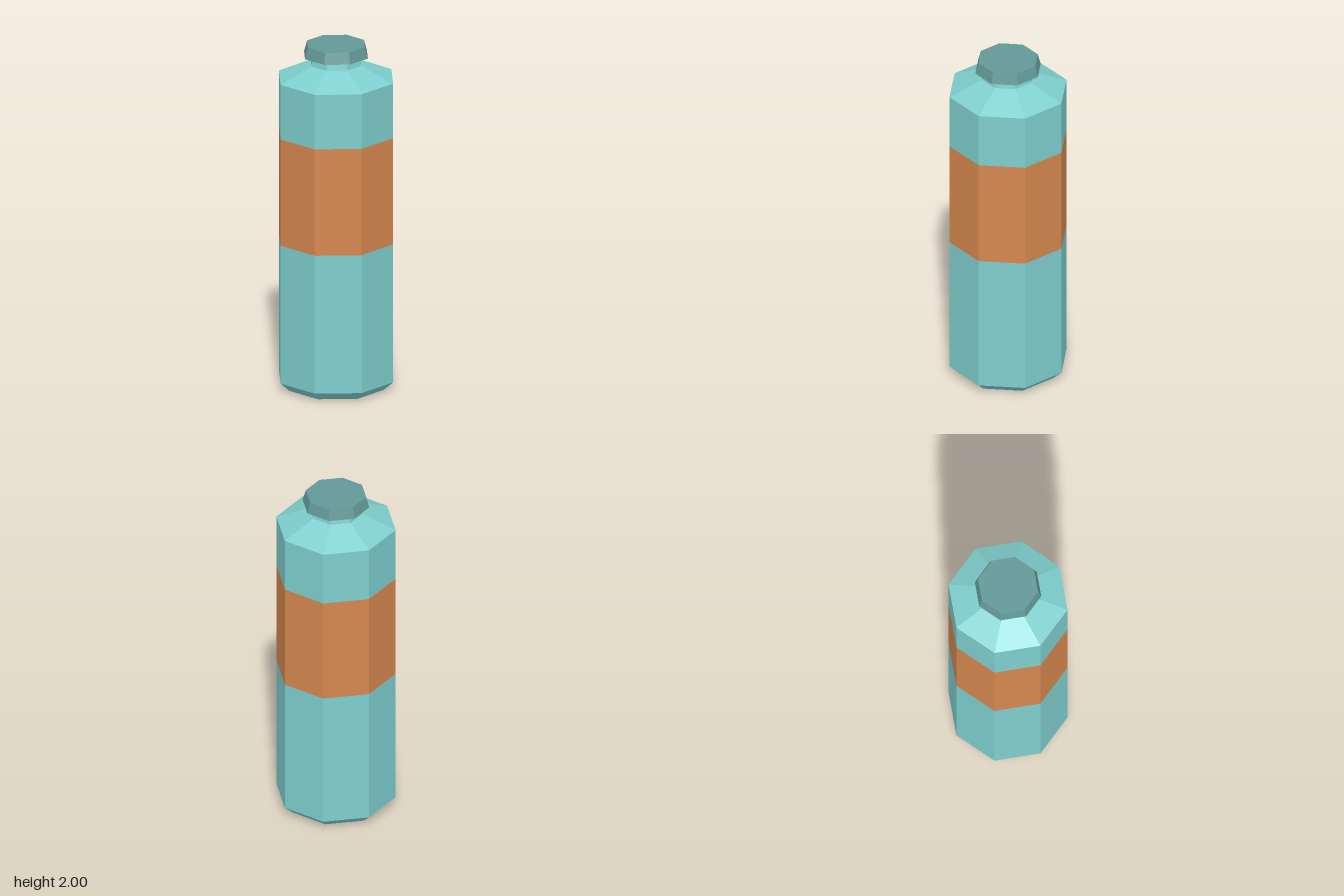
import * as THREE from 'three';

const material = (name, color) => {
  const m = new THREE.MeshStandardMaterial({ color, flatShading: true });
  m.name = name;
  return m;
};

export function createModel() {
  const teal = material('teal', 0x7ecfce);
  const orange = material('orange', 0xd5884f);
  const capTeal = material('dark teal', 0x629897);
  const bottle = new THREE.Group();
  bottle.name = 'bottle';

  // Eight-sided section between two heights; ends are closed only where they show
  const section = (name, mat, y0, r0, y1, r1, bottom = false, top = false) => {
    const mesh = new THREE.Mesh(new THREE.CylinderGeometry(r1, r0, y1 - y0, 8, 1, true), mat);
    mesh.position.y = (y0 + y1) / 2;
    mesh.name = name;
    bottle.add(mesh);
    for (const [on, y, r, turn] of [[bottom, y0, r0, 1], [top, y1, r1, -1]]) {
      if (!on) continue;
      const disc = new THREE.Mesh(new THREE.CircleGeometry(r, 8), mat);
      disc.rotation.x = turn * Math.PI / 2;
      disc.position.y = y;
      disc.name = name + (turn > 0 ? 'Bottom' : 'Top');
      bottle.add(disc);
    }
  };

  // Body
  section('base', teal, 0, 0.285, 0.05, 0.34, true);
  section('lowerBody', teal, 0.05, 0.34, 0.86, 0.34);
  section('band', orange, 0.86, 0.34, 1.485, 0.34);
  section('upperBody', teal, 1.485, 0.34, 1.805, 0.34);

  // Shoulder, neck and cap
  section('shoulder', teal, 1.805, 0.34, 1.887, 0.15);
  section('neck', teal, 1.887, 0.15, 1.935, 0.14);
  section('cap', capTeal, 1.935, 0.19, 2, 0.172, true, true);

  return bottle;
}
